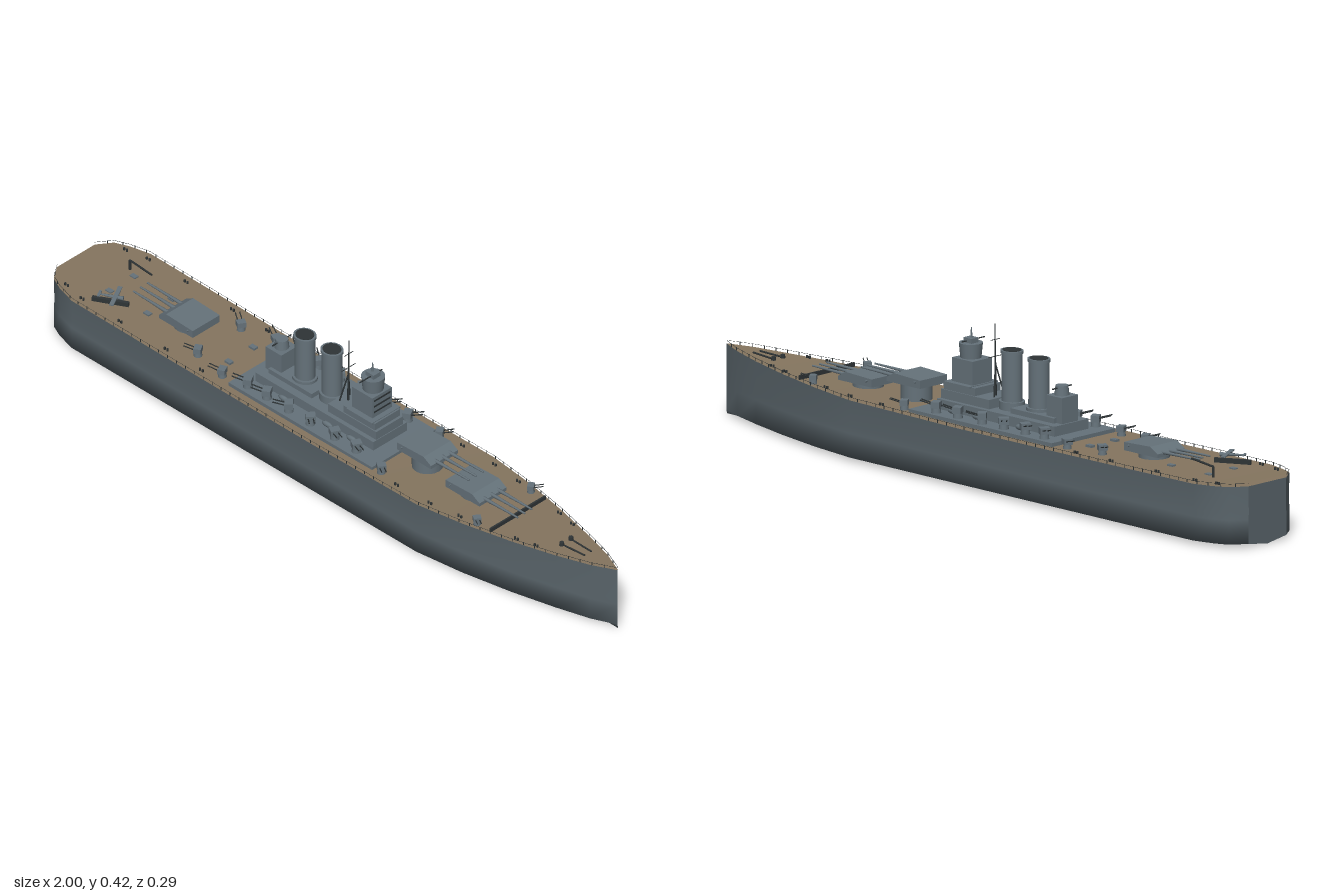
import * as THREE from 'three';

const mat = (name, color, side = THREE.FrontSide) => {
  const m = new THREE.MeshStandardMaterial({ color, side });
  m.name = name;
  return m;
};

export function createModel() {
  const ship = new THREE.Group();
  ship.name = 'battleship';
  const hullGrey = mat('hullGrey', 0x59646a);
  const grey = mat('superstructureGrey', 0x65727a);
  const wood = mat('deckWood', 0x85755f, THREE.DoubleSide);
  const dark = mat('darkFittings', 0x2e3436);

  // ---- helpers ----
  const add = (parent, name, geo, material, x = 0, y = 0, z = 0) => {
    const m = new THREE.Mesh(geo, material);
    m.name = name;
    m.position.set(x, y, z);
    parent.add(m);
    return m;
  };
  // box given by its extents in x and y, its depth and its centre in z
  const block = (name, x0, x1, y0, y1, depth, z = 0, material = grey, parent = ship) =>
    add(parent, name, new THREE.BoxGeometry(x1 - x0, y1 - y0, depth), material, (x0 + x1) / 2, (y0 + y1) / 2, z);
  // thin rod between two points
  const rod = (parent, name, a, b, r, material = dark, sides = 6, r2 = r) => {
    const p = new THREE.Vector3(...a), q = new THREE.Vector3(...b), d = q.clone().sub(p);
    const m = add(parent, name, new THREE.CylinderGeometry(r2, r, d.length(), sides), material);
    m.position.copy(p).add(q).multiplyScalar(0.5);
    m.quaternion.setFromUnitVectors(new THREE.Vector3(0, 1, 0), d.normalize());
    return m;
  };
  const group = (name, x, y, z, angle = 0, parent = ship) => {
    const g = new THREE.Group();
    g.name = name;
    g.position.set(x, y, z);
    g.rotation.y = angle;
    parent.add(g);
    return g;
  };
  // skin over rows of points
  const loft = (rows) => {
    const n = rows[0].length, index = [];
    for (let i = 0; i < rows.length - 1; i++)
      for (let j = 0; j < n - 1; j++) {
        const a = i * n + j, b = a + 1, c = a + n, d = c + 1;
        index.push(a, b, c, b, d, c);
      }
    const g = new THREE.BufferGeometry();
    g.setAttribute('position', new THREE.Float32BufferAttribute(rows.flat(2), 3));
    g.setIndex(index);
    g.computeVertexNormals();
    return g;
  };

  // ---- hull: stations of x, half width, deck height ----
  const stations = [
    [-1, 0.07, 0.168], [-0.97, 0.112, 0.168], [-0.93, 0.13, 0.167], [-0.87, 0.146, 0.166], [-0.5, 0.146, 0.163],
    [0, 0.146, 0.162], [0.4, 0.145, 0.167], [0.55, 0.125, 0.172], [0.7, 0.095, 0.177],
    [0.83, 0.062, 0.182], [0.93, 0.032, 0.187], [1, 0.0008, 0.19],
  ];
  const side = ([x, w, y], s) => [[x, y, s * w], [x, 0.095, s * w * 0.975], [x, 0.078, s * w], [x, 0.013, s * w]];
  const keel = (st) => [st[0], 0.002, 0];
  add(ship, 'hull', loft(stations.map((st) => [...side(st, 1), keel(st), ...side(st, -1).reverse()])), hullGrey);
  add(ship, 'transom', loft([-1, 0, 1].map((s) => [...side(stations[0], s), keel(stations[0])])), hullGrey);
  add(ship, 'deck', loft(stations.map(([x, w, y]) => [[x, y, -w], [x, y, w]])), wood);
  const at = (x) => {
    const i = Math.max(1, stations.findIndex((s) => s[0] >= x)), a = stations[i - 1], b = stations[i];
    const t = (x - a[0]) / (b[0] - a[0]);
    return { w: a[1] + (b[1] - a[1]) * t, y: a[2] + (b[2] - a[2]) * t };
  };

  // ---- railings ----
  const rails = group('railings', 0, 0, 0);
  for (const s of [-1, 1]) {
    for (let i = 0; i < stations.length - 1; i++) {
      const [a, b] = [stations[i], stations[i + 1]];
      rod(rails, 'railWire', [a[0], a[2] + 0.008, s * a[1] * 0.99], [b[0], b[2] + 0.008, s * b[1] * 0.99], 0.0005, dark, 4);
    }
    for (let x = -0.98; x < 0.99; x += 0.033) {
      const { w, y } = at(x);
      add(rails, 'railPost', new THREE.BoxGeometry(0.0016, 0.009, 0.0016), dark, x, y + 0.0045, s * w * 0.99);
    }
  }

  // ---- superstructure ----
  block('shelterDeck', -0.32, 0.21, 0.155, 0.173, 0.235);
  block('deckHouse', -0.275, 0.16, 0.17, 0.2, 0.125);
  block('forwardHouse', -0.02, 0.158, 0.2, 0.225, 0.1);
  block('bridgeHouse', 0.035, 0.15, 0.225, 0.246, 0.094);
  block('bridgeWing', 0.05, 0.145, 0.243, 0.248, 0.105);
  block('bridgeTower', 0.055, 0.13, 0.246, 0.312, 0.072);
  add(ship, 'towerTop', new THREE.CylinderGeometry(0.032, 0.028, 0.04, 20), grey, 0.097, 0.332, 0);
  block('directorBase', 0.082, 0.112, 0.352, 0.365, 0.026);
  rod(ship, 'rangefinder', [0.1, 0.357, -0.03], [0.1, 0.357, 0.053], 0.0018);
  rod(ship, 'towerPole', [0.095, 0.365, 0], [0.095, 0.392, 0], 0.003, grey, 6, 0.0015);
  for (const y of [0.262, 0.28, 0.298]) block('bridgeWindows', 0.1295, 0.131, y, y + 0.005, 0.06, 0, dark);

  block('aftHouse', -0.25, -0.09, 0.2, 0.214, 0.08);
  block('aftTower', -0.27, -0.212, 0.2, 0.27, 0.06);
  add(ship, 'aftDirector', new THREE.CylinderGeometry(0.017, 0.02, 0.026, 14), grey, -0.24, 0.283, 0);
  rod(ship, 'aftRangefinder', [-0.24, 0.29, -0.035], [-0.24, 0.29, 0.035], 0.002);

  // ---- funnels ----
  for (const [x, top] of [[-0.155, 0.353], [-0.055, 0.358]]) {
    const f = group('funnel', x, 0, 0);
    const part = (name, r, y0, y1, m) => {
      add(f, name, new THREE.CylinderGeometry(r, r, y1 - y0, 24), m, 0, (y0 + y1) / 2, 0).scale.z = 0.9;
    };
    part('funnelBase', 0.036, 0.2, 0.222, grey);
    part('funnelPipe', 0.029, 0.2, top, grey);
    part('funnelRim', 0.032, top - 0.008, top, grey);
    part('funnelMouth', 0.026, top, top + 0.0012, dark);
  }

  // ---- masts ----
  rod(ship, 'mainMast', [0.005, 0.2, 0], [0.008, 0.418, 0], 0.004, dark, 6, 0.0012);
  for (const s of [-1, 1]) rod(ship, 'mastLeg', [-0.012, 0.2, s * 0.025], [0.006, 0.31, 0], 0.002);
  rod(ship, 'mastYard', [0.007, 0.375, -0.016], [0.007, 0.375, 0.016], 0.001);
  rod(ship, 'lowerYard', [0.006, 0.33, -0.026], [0.006, 0.33, 0.026], 0.001);

  // ---- main turrets ----
  const turretShape = new THREE.Shape([[-0.063, 0], [0.062, 0], [0.062, 0.01], [0.035, 0.026], [-0.063, 0.022]]
    .map((p) => new THREE.Vector2(...p)));
  const turretGeo = new THREE.ExtrudeGeometry(turretShape, { depth: 0.1, bevelEnabled: false }).translate(0, 0, -0.05);
  const turret = (name, x, y, angle) => {
    const t = group(name, x, y, 0, angle);
    const drop = y - at(x).y;
    add(t, 'barbette', new THREE.CylinderGeometry(0.042, 0.042, drop + 0.004, 20), grey, 0, -drop / 2, 0);
    add(t, 'gunHouse', turretGeo, grey);
    rod(t, 'turretRangefinder', [-0.045, 0.015, -0.056], [-0.045, 0.015, 0.056], 0.003, grey);
    for (const z of [-0.026, 0, 0.026]) {
      rod(t, 'barrelSleeve', [0.05, 0.011, z], [0.1, 0.012, z], 0.0055, grey, 8, 0.004);
      rod(t, 'barrel', [0.1, 0.012, z], [0.18, 0.013, z], 0.004, grey, 8, 0.0025);
    }
  };
  turret('forwardTurret', 0.477, 0.182, 0);
  turret('raisedTurret', 0.298, 0.21, 0);
  turret('aftTurret', -0.582, 0.178, Math.PI);

  // ---- secondary and light guns ----
  const gun = (x, z, angle, size = 1, y = at(x).y) => {
    const g = group('secondaryGun', x, y, z, angle);
    g.scale.setScalar(size);
    add(g, 'gunPedestal', new THREE.CylinderGeometry(0.012, 0.014, 0.016, 10), grey, 0, 0.008, 0);
    block('gunShield', -0.012, 0.012, 0.014, 0.032, 0.028, 0, grey, g);
    for (const s of [-1, 1]) rod(g, 'gunBarrel', [0.01, 0.024, s * 0.007], [0.045, 0.034, s * 0.007], 0.0018);
  };
  for (const s of [-1, 1]) {
    for (const [x, turn] of [[-0.27, 2.6], [-0.2, 2.6], [-0.12, 2.4], [-0.04, 0.7], [0.05, 0.5], [0.13, 0.5]])
      gun(x, s * 0.095, -s * turn, 0.95, 0.173);
    gun(0.235, s * 0.108, -s * 0.6, 0.85);
    gun(-0.36, s * 0.1, -s * 2.7, 0.85);
    gun(-0.47, s * 0.08, -s * 2.6, 0.85);
    gun(0.58, s * 0.1, -s * 0.6, 0.75);
    // boats beside the deck house
    for (const x of [-0.16, 0.0, 0.09]) {
      const boat = add(ship, 'boat', new THREE.SphereGeometry(0.02, 10, 6), grey, x, 0.18, s * 0.072);
      boat.scale.set(1, 0.4, 0.35);
    }
  }

  // ---- deck fittings ----
  block('breakwater', 0.628, 0.633, 0.172, 0.186, 0.205, 0, dark);
  for (const s of [-1, 1]) {
    rod(ship, 'anchorChain', [0.82, 0.184, s * 0.016], [0.89, 0.187, s * 0.012], 0.0025);
    add(ship, 'capstan', new THREE.CylinderGeometry(0.006, 0.007, 0.01, 10), dark, 0.81, 0.186, s * 0.017);
    for (const x of [-0.93, -0.86, -0.72, -0.55, -0.42, 0.3, 0.42, 0.52, 0.7, 0.76]) {
      const { w, y } = at(x);
      for (const d of [0, 0.01])
        add(ship, 'bollard', new THREE.CylinderGeometry(0.003, 0.003, 0.007, 8), dark, x + d, y + 0.0035, s * w * 0.84);
    }
    for (const x of [-0.84, -0.7, -0.4]) block('hatch', x, x + 0.02, 0.162, 0.169, 0.014, s * 0.045);
  }

  // ---- aircraft on its catapult, and crane ----
  const cat = group('catapult', -0.79, 0.167, 0.082, 0.5);
  block('catapultBeam', -0.05, 0.05, 0, 0.012, 0.01, 0, dark, cat);
  rod(cat, 'fuselage', [0.035, 0.022, 0], [-0.035, 0.024, 0], 0.006, grey, 8, 0.002);
  block('wing', 0.008, 0.02, 0.024, 0.027, 0.085, 0, grey, cat);
  block('tailplane', -0.034, -0.027, 0.024, 0.026, 0.026, 0, grey, cat);
  rod(ship, 'cranePost', [-0.86, 0.166, -0.06], [-0.86, 0.195, -0.06], 0.004);
  rod(ship, 'craneArm', [-0.86, 0.195, -0.06], [-0.77, 0.2, -0.05], 0.003);

  return ship;
}
